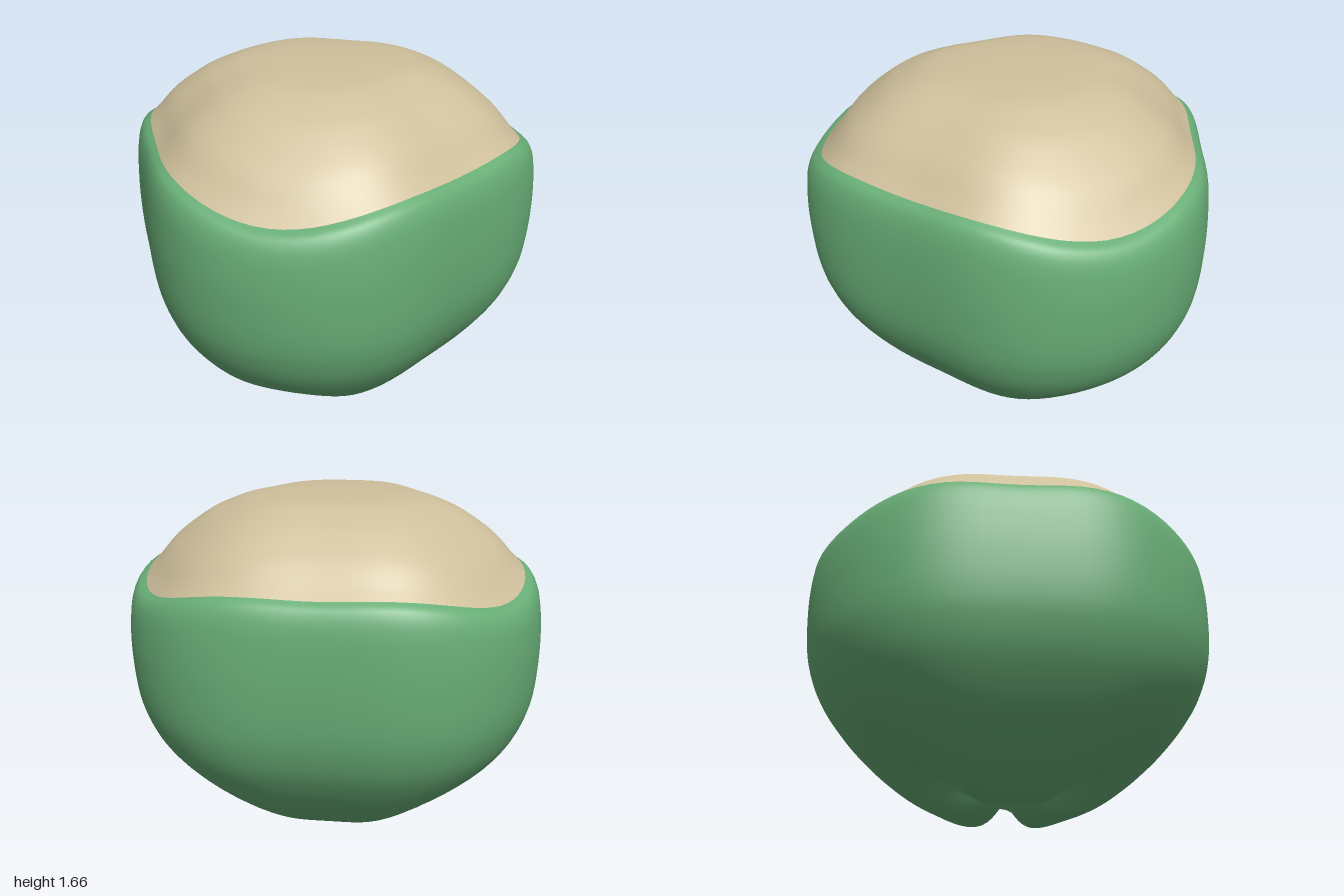
import * as THREE from 'three';

const SEGMENTS = 96;
const CENTRE_Z = 0.07;

// smooth curve through a few profile points
const spline = (pts, n) =>
  new THREE.SplineCurve(pts.map(([x, y]) => new THREE.Vector2(x, y))).getPoints(n);

// three-sided plan: flat at th = 0 and 120 degrees, corners between
const planRadius = (th) => 0.977 - 0.068 * Math.cos(3 * th) - 0.011 * Math.cos(6 * th);
const rimHeight = (th) => 1.308 + 0.04 * Math.cos(3 * th) - 0.018 * Math.cos(6 * th);

const RIM = 0.91;

// closed rings from top to bottom; heightAt(point, th) bends each ring
function loft(profile, heightAt) {
  const pos = [], idx = [];
  profile.forEach((p, i) => {
    for (let j = 0; j < SEGMENTS; j++) {
      const th = (j / SEGMENTS) * Math.PI * 2;
      const r = planRadius(th) * Math.max(p.x, 0.001);
      pos.push(Math.sin(th) * r, heightAt(p, th), Math.cos(th) * r + CENTRE_Z);
      if (i === profile.length - 1) continue;
      const k = (j + 1) % SEGMENTS;
      const a = i * SEGMENTS + j, b = i * SEGMENTS + k;
      const c = a + SEGMENTS, d = b + SEGMENTS;
      idx.push(a, c, d, a, d, b);
    }
  });
  const g = new THREE.BufferGeometry();
  g.setAttribute('position', new THREE.Float32BufferAttribute(pos, 3));
  g.setIndex(idx);
  g.computeVertexNormals();
  return g;
}

// valley between the three lobes of the underside
function crease(n, y, th) {
  if (y > 0.7) return 0;
  const sector = (2 * Math.PI) / 3;
  const fromCorner = Math.abs((th % sector) - sector / 2);
  const along = Math.min(n / 0.25, 1) * (1 - THREE.MathUtils.smoothstep(n, 0.3, 0.9));
  return 0.125 * along * Math.exp(-((fromCorner / 0.3) ** 2));
}

export function createModel() {
  const model = new THREE.Group();
  const green = new THREE.MeshStandardMaterial({ color: 0x68ad76 });
  green.name = 'green';
  const tan = new THREE.MeshStandardMaterial({ color: 0xcfc09c });
  tan.name = 'tan';

  // outer shell: rounded lip, full sides, lobed base
  const shellProfile = spline([
    [RIM, 1.33], [0.952, 1.3], [0.98, 1.23], [0.995, 1.11], [1, 0.95], [0.99, 0.77],
    [0.96, 0.63], [0.89, 0.48], [0.75, 0.3], [0.58, 0.145], [0.42, 0.045],
    [0.26, 0.003], [0.14, 0.03], [0.05, 0.085], [0, 0.1],
  ], 84);
  const shell = new THREE.Mesh(loft(shellProfile, (p, th) => {
    if (p.y > 0.95) return 0.95 + (p.y - 0.95) * (rimHeight(th) - 0.95) / 0.38;
    return p.y + crease(p.x, p.y, th);
  }), green);
  shell.name = 'shell';

  // domed cap: y is the share of the rise from rim to flat top
  const capProfile = spline([
    [0, 1], [0.2, 0.995], [0.35, 0.975], [0.48, 0.93], [0.6, 0.82],
    [0.7, 0.69], [0.85, 0.41], [0.95, 0.13], [1, 0],
  ], 40).map((p) => new THREE.Vector2(p.x * RIM, p.y));
  const cap = new THREE.Mesh(loft(capProfile, (p, th) => {
    const rim = rimHeight(th);
    return rim + (1.667 - rim) * p.y;
  }), tan);
  cap.name = 'cap';

  model.add(shell, cap);
  return model;
}
